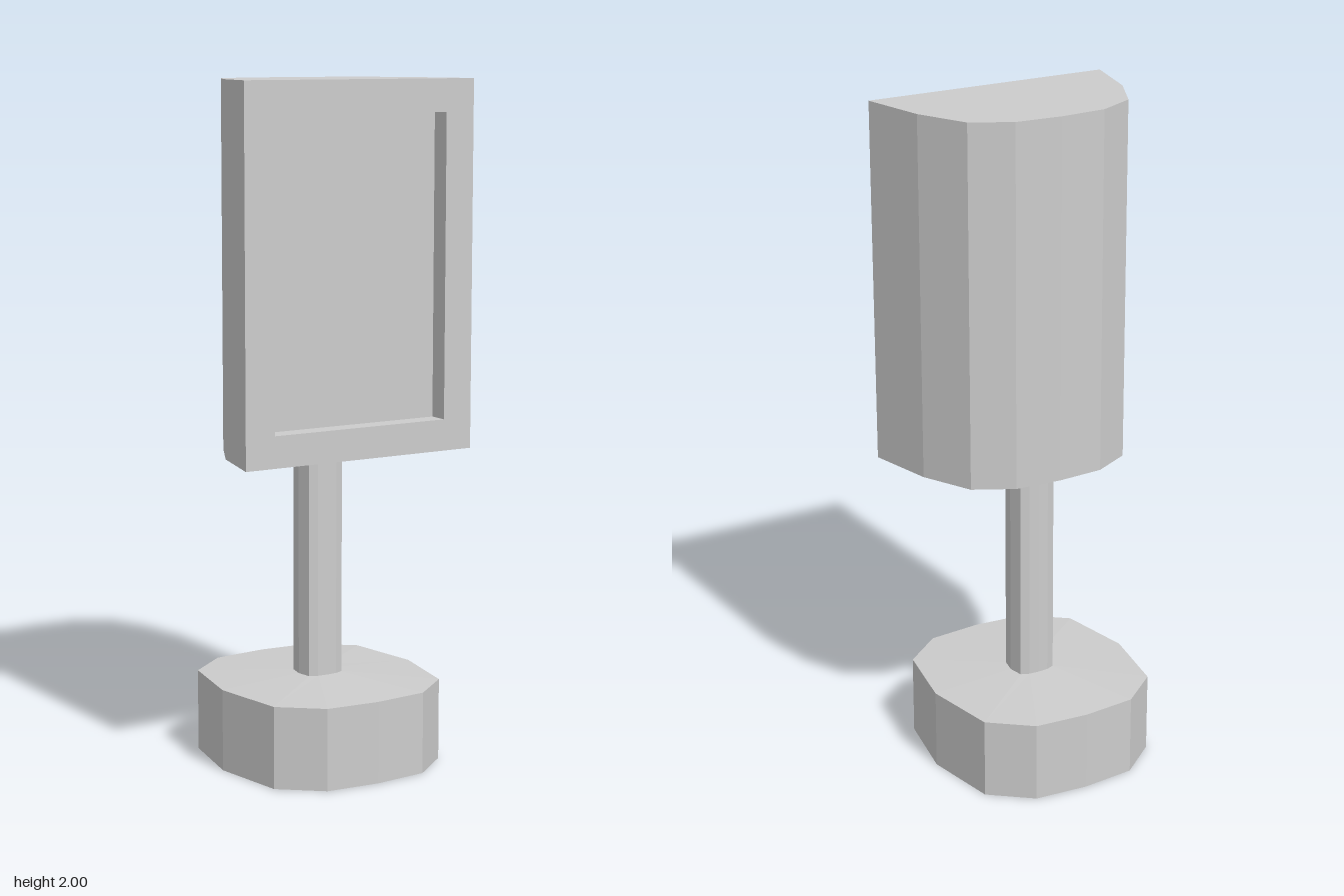
import * as THREE from 'three';

// Full plan outline from its +x half, listed front to back as [x, z]
function mirrored(half) {
  const other = half.filter(([x]) => x !== 0).reverse().map(([x, z]) => [-x, z]);
  return [...half, ...other];
}

const atHeight = (outline, y) => outline.map(([x, z]) => [x, y, z]);

// Upright rectangle facing +z
const rectangle = (w, y0, y1, z) => [[-w, y0, z], [w, y0, z], [w, y1, z], [-w, y1, z]];

// Flat-sided skin through matching rings, optionally capped or left open on its last side
function loft(rings, { capStart = false, capEnd = false, open = false } = {}) {
  const positions = [];
  const triangle = (a, b, c) => positions.push(...a, ...b, ...c);
  const n = rings[0].length;
  for (let r = 0; r < rings.length - 1; r++) {
    const a = rings[r], b = rings[r + 1];
    for (let i = 0; i < (open ? n - 1 : n); i++) {
      const j = (i + 1) % n;
      triangle(a[i], a[j], b[j]);
      triangle(a[i], b[j], b[i]);
    }
  }
  const cap = (ring, flip) => {
    const centre = [0, 1, 2].map((k) => ring.reduce((s, p) => s + p[k], 0) / n);
    ring.forEach((p, i) => {
      const q = ring[(i + 1) % n];
      if (flip) triangle(centre, q, p);
      else triangle(centre, p, q);
    });
  };
  if (capStart) cap(rings[0], true);
  if (capEnd) cap(rings[rings.length - 1], false);
  const geometry = new THREE.BufferGeometry();
  geometry.setAttribute('position', new THREE.Float32BufferAttribute(positions, 3));
  geometry.computeVertexNormals();
  return geometry;
}

export function createModel() {
  const group = new THREE.Group();
  const grey = new THREE.MeshStandardMaterial({ color: 0xcccccc });
  grey.name = 'light grey';

  const add = (name, geometry) => {
    const mesh = new THREE.Mesh(geometry, grey);
    mesh.name = name;
    group.add(mesh);
  };

  const baseOutline = mirrored([
    [0, 0.337], [0.162, 0.323], [0.282, 0.227], [0.323, 0],
    [0.282, -0.227], [0.162, -0.323], [0, -0.337],
  ]);
  const postOutline = mirrored([
    [0, 0.057], [0.031, 0.055], [0.056, 0.045], [0.065, 0],
    [0.056, -0.045], [0.031, -0.055], [0, -0.057],
  ]);
  const headOutline = mirrored([
    [0.376, 0.24], [0.329, 0.04], [0.255, -0.109], [0.14, -0.169], [0, -0.178],
  ]);

  // Heavy foot whose top rises slightly towards the post
  add('base', loft([
    atHeight(baseOutline, 0), atHeight(baseOutline, 0.242), atHeight(postOutline, 0.256),
  ], { capStart: true }));

  add('post', loft([atHeight(postOutline, 0.25), atHeight(postOutline, 0.93)]));

  // Curved casing, closed at the front by the frame
  add('headCasing', loft([
    atHeight(headOutline, 0.93), atHeight(headOutline, 2),
  ], { capStart: true, capEnd: true, open: true }));

  // Front border and the sides of the recess
  add('frontFrame', loft([
    rectangle(0.376, 0.93, 2, 0.24),
    rectangle(0.283, 1.022, 1.906, 0.24),
    rectangle(0.283, 1.022, 1.906, 0.18),
  ]));

  const panel = new THREE.PlaneGeometry(0.566, 0.884);
  panel.translate(0, 1.464, 0.18);
  add('recessedPanel', panel);

  return group;
}
